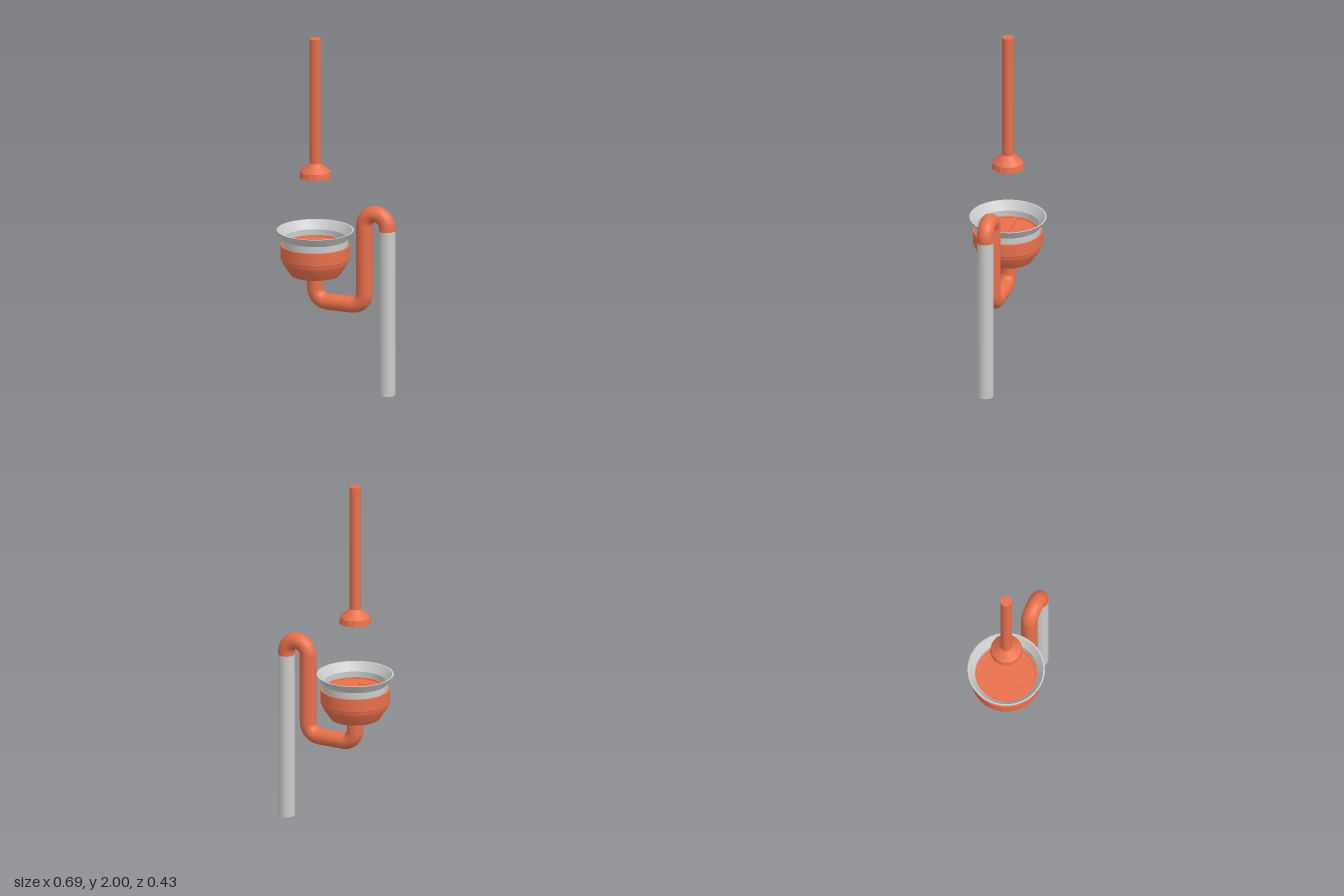
import * as THREE from 'three';
import { toCreasedNormals } from 'three/addons/utils/BufferGeometryUtils.js';

const CUP_X = -0.135;   // axis of the supply pipe and cup
const RISER_X = 0.161;  // rising leg of the trap
const DROP_X = 0.297;   // waste pipe axis
const PIPE_R = 0.046;

export function createModel() {
  const model = new THREE.Group();
  const orange = new THREE.MeshStandardMaterial({ color: 0xe8704c, side: THREE.DoubleSide });
  const grey = new THREE.MeshStandardMaterial({ color: 0xcccccc, side: THREE.DoubleSide });

  function add(name, geometry, material, x = 0, y = 0, z = 0) {
    const mesh = new THREE.Mesh(geometry, material);
    mesh.name = name;
    mesh.position.set(x, y, z);
    model.add(mesh);
    return mesh;
  }

  // Turned part from [radius, height] pairs, outside going up
  function turned(name, profile, material, sides = 32) {
    const points = profile.map(([r, y]) => new THREE.Vector2(r, y));
    const geometry = toCreasedNormals(new THREE.LatheGeometry(points, sides), 0.4);
    return add(name, geometry, material, CUP_X);
  }

  // Supply pipe with a hollow bell at its lower end
  add('supplyPipe', new THREE.CylinderGeometry(0.032, 0.032, 0.73, 24), orange, CUP_X, 1.635);
  turned('supplyBell', [
    [0.09, 1.203], [0.085, 1.238], [0.044, 1.272], [0.032, 1.285], [0, 1.285],
    [0, 1.26], [0.036, 1.255], [0.062, 1.235], [0.066, 1.203], [0.09, 1.203],
  ], orange, 14);

  // Flared grey rim standing in the cup
  turned('flaredRim', [
    [0.182, 0.8], [0.182, 0.852], [0.214, 0.9], [0.205, 0.9],
    [0.173, 0.852], [0.173, 0.8], [0.182, 0.8],
  ], grey, 36);

  // Cup: collar, seam and tapered base
  turned('cupCollar', [
    [0, 0.736], [0.19, 0.736], [0.193, 0.742], [0.193, 0.815], [0.17, 0.815], [0, 0.79],
  ], orange);
  turned('cupBase', [
    [0, 0.645], [0.137, 0.645], [0.18, 0.71], [0.188, 0.733], [0.188, 0.737], [0, 0.737],
  ], orange);

  // Lipped strainer plate with a cross rib and a small plug
  turned('strainerPlate', [
    [0, 0.79], [0.171, 0.79], [0.171, 0.82], [0.161, 0.82], [0.16, 0.812], [0, 0.812],
  ], orange);
  add('strainerRib', new THREE.BoxGeometry(0.304, 0.016, 0.02), orange, CUP_X, 0.814);
  add('strainerPlug', new THREE.CylinderGeometry(0.033, 0.033, 0.012, 24), orange, CUP_X, 0.811, 0.106);

  // Trap pipe: straight runs joined by quarter and half bends
  const path = new THREE.CurvePath();
  const v = (x, y) => new THREE.Vector3(x, y, 0);
  let at = v(CUP_X, 0.66);
  function lineTo(x, y) {
    path.add(new THREE.LineCurve3(at, v(x, y)));
    at = v(x, y);
  }
  function bend(cx, cy, radius, start, sweep, pieces = 8) {
    for (let i = 1; i <= pieces; i++) {
      const a = start + sweep * i / pieces;
      lineTo(cx + radius * Math.cos(a), cy + radius * Math.sin(a));
    }
  }
  const bendR = 0.073, bottom = 0.496;
  const archR = (DROP_X - RISER_X) / 2, archY = 1.077 - PIPE_R - archR;
  lineTo(CUP_X, bottom + bendR);
  bend(CUP_X + bendR, bottom + bendR, bendR, Math.PI, Math.PI / 2);
  lineTo(RISER_X - bendR, bottom);
  bend(RISER_X - bendR, bottom + bendR, bendR, -Math.PI / 2, Math.PI / 2);
  lineTo(RISER_X, archY);
  bend(RISER_X + archR, archY, archR, Math.PI, -Math.PI, 16);
  lineTo(DROP_X, 0.943);
  add('trapPipe', new THREE.TubeGeometry(path, 160, PIPE_R, 24), orange);

  // Open waste pipe down to the floor
  add('wastePipe', new THREE.CylinderGeometry(PIPE_R, PIPE_R, 0.945, 24, 1, true), grey, DROP_X, 0.4725);

  return model;
}
